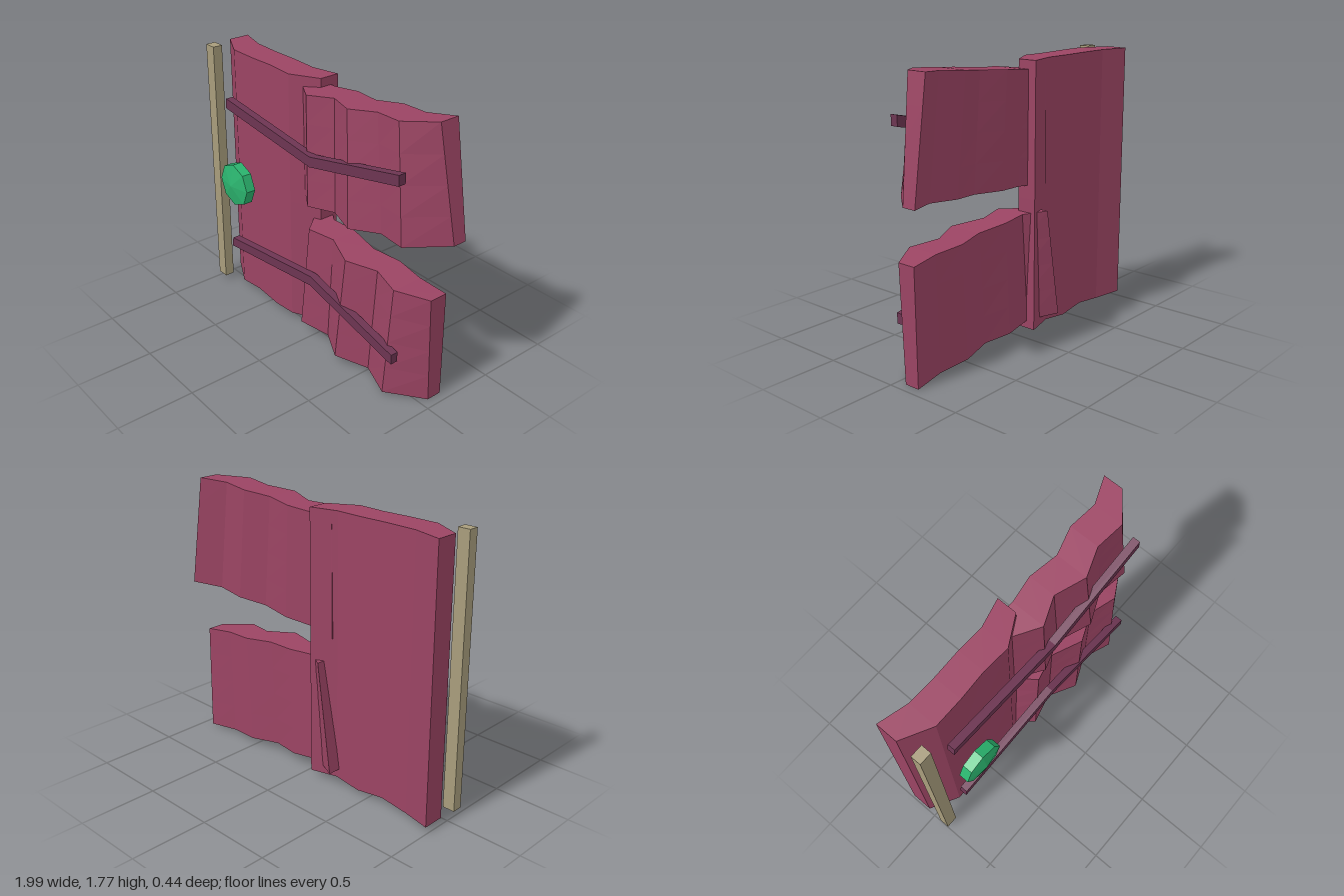
import * as THREE from 'three';

const mat = (color) => new THREE.MeshStandardMaterial({ color, flatShading: true });

// Thick folded sheet. Each column: [xTop, yTop, xBottom, yBottom, frontTop, frontBottom, backTop, backBottom]
function foldedSheet(columns, rows = 4) {
  const pos = [], index = [];
  const lerp = THREE.MathUtils.lerp;
  const quad = (a, b, c, d) => index.push(a, b, c, a, c, d);
  for (const [xt, yt, xb, yb, ft, fb, bt, bb] of columns) {
    for (let r = 0; r <= rows; r++) {
      const t = r / rows, x = lerp(xb, xt, t), y = lerp(yb, yt, t);
      pos.push(x, y, lerp(fb, ft, t), x, y, lerp(bb, bt, t));
    }
  }
  const id = (c, r, back) => (c * (rows + 1) + r) * 2 + back;
  const last = columns.length - 1;
  for (let c = 0; c < last; c++) {
    for (let r = 0; r < rows; r++) {
      quad(id(c, r, 0), id(c + 1, r, 0), id(c + 1, r + 1, 0), id(c, r + 1, 0));
      quad(id(c + 1, r, 1), id(c, r, 1), id(c, r + 1, 1), id(c + 1, r + 1, 1));
    }
    quad(id(c, rows, 0), id(c + 1, rows, 0), id(c + 1, rows, 1), id(c, rows, 1));
    quad(id(c, 0, 1), id(c + 1, 0, 1), id(c + 1, 0, 0), id(c, 0, 0));
  }
  for (let r = 0; r < rows; r++) {
    quad(id(0, r, 1), id(0, r, 0), id(0, r + 1, 0), id(0, r + 1, 1));
    quad(id(last, r, 0), id(last, r, 1), id(last, r + 1, 1), id(last, r + 1, 0));
  }
  const g = new THREE.BufferGeometry();
  g.setAttribute('position', new THREE.Float32BufferAttribute(pos, 3));
  g.setIndex(index);
  const flat = g.toNonIndexed();
  flat.computeVertexNormals();
  return flat;
}

// Bent flat strip of constant width along three points
function bentStrip(points, halfWidth, depth) {
  const upper = points.map(([x, y]) => new THREE.Vector2(x, y + halfWidth));
  const lower = points.map(([x, y]) => new THREE.Vector2(x, y - halfWidth)).reverse();
  // square the ends off to the strip's direction
  upper[0].x += 0.008; lower[2].x -= 0.003;
  const shape = new THREE.Shape([...lower, ...upper]);
  return new THREE.ExtrudeGeometry(shape, { depth, bevelEnabled: false });
}

export function createModel() {
  const model = new THREE.Group();
  const cloth = mat(0x9b4463), trim = mat(0x6d3552), wood = mat(0xa89d7c), green = mat(0x2bb56f);
  const add = (name, geometry, material, x = 0, y = 0, z = 0) => {
    const mesh = new THREE.Mesh(geometry, material);
    mesh.name = name;
    mesh.position.set(x, y, z);
    model.add(mesh);
    return mesh;
  };

  // Main cloth panel
  add('mainCloth', foldedSheet([
    [-0.99, 1.74, -0.99, 0.04, -0.05, -0.05, -0.19, -0.19],
    [-0.80, 1.74, -0.80, 0.03, 0.05, 0.05, -0.14, -0.14],
    [-0.61, 1.74, -0.61, 0.05, 0.05, 0.05, -0.135, -0.135],
    [-0.42, 1.74, -0.42, 0.025, 0.04, 0.045, -0.14, -0.14],
    [-0.24, 1.74, -0.24, 0.045, 0.05, 0.05, -0.135, -0.135],
    [-0.06, 1.74, -0.06, 0.04, -0.05, -0.05, -0.18, -0.18],
  ]), cloth);

  // Two folded tails
  add('upperTail', foldedSheet([
    [-0.20, 1.67, -0.21, 0.965, -0.02, -0.04, -0.145, -0.15],
    [-0.01, 1.69, 0.01, 0.98, 0.10, 0.11, -0.12, -0.11],
    [0.16, 1.705, 0.195, 0.995, 0.03, 0.05, -0.145, -0.14],
    [0.35, 1.72, 0.41, 1.01, 0.10, 0.135, -0.11, -0.11],
    [0.525, 1.74, 0.60, 1.03, 0.035, 0.05, -0.16, -0.16],
    [0.71, 1.755, 0.80, 1.045, 0.055, 0.085, -0.14, -0.14],
    [0.88, 1.77, 0.99, 1.06, -0.08, -0.13, -0.21, -0.22],
  ]), cloth);
  add('lowerTail', foldedSheet([
    [-0.15, 0.81, -0.26, 0.105, -0.09, -0.08, -0.21, -0.22],
    [-0.015, 0.80, -0.07, 0.09, 0.08, 0.105, -0.12, -0.12],
    [0.165, 0.79, 0.135, 0.07, 0.035, 0.05, -0.14, -0.145],
    [0.37, 0.77, 0.32, 0.06, 0.115, 0.145, -0.11, -0.11],
    [0.56, 0.755, 0.525, 0.04, 0.03, 0.05, -0.15, -0.155],
    [0.75, 0.74, 0.73, 0.02, 0.08, 0.12, -0.13, -0.13],
    [0.94, 0.72, 0.94, 0.003, -0.03, -0.06, -0.15, -0.16],
  ]), cloth);

  // Pole along the fixed edge
  add('pole', new THREE.BoxGeometry(0.08, 1.705, 0.065), wood, -0.96, 0.888, 0.093);

  // Bent trim strips
  add('upperStrip', bentStrip([[-0.795, 1.403], [0.06, 1.303], [0.81, 1.472]], 0.033, 0.05), trim, 0, 0, 0.085);
  add('lowerStrip', bentStrip([[-0.795, 0.38], [0.06, 0.482], [0.81, 0.312]], 0.033, 0.05), trim, 0, 0, 0.085);

  // Eight-sided stud with a shallow point
  const profile = [[0, 0], [0.145, 0], [0.145, 0.065], [0, 0.092]].map(([r, h]) => new THREE.Vector2(r, h));
  add('stud', new THREE.LatheGeometry(profile, 8), green, -0.655, 0.89, 0.13).rotation.x = Math.PI / 2;

  return model;
}
